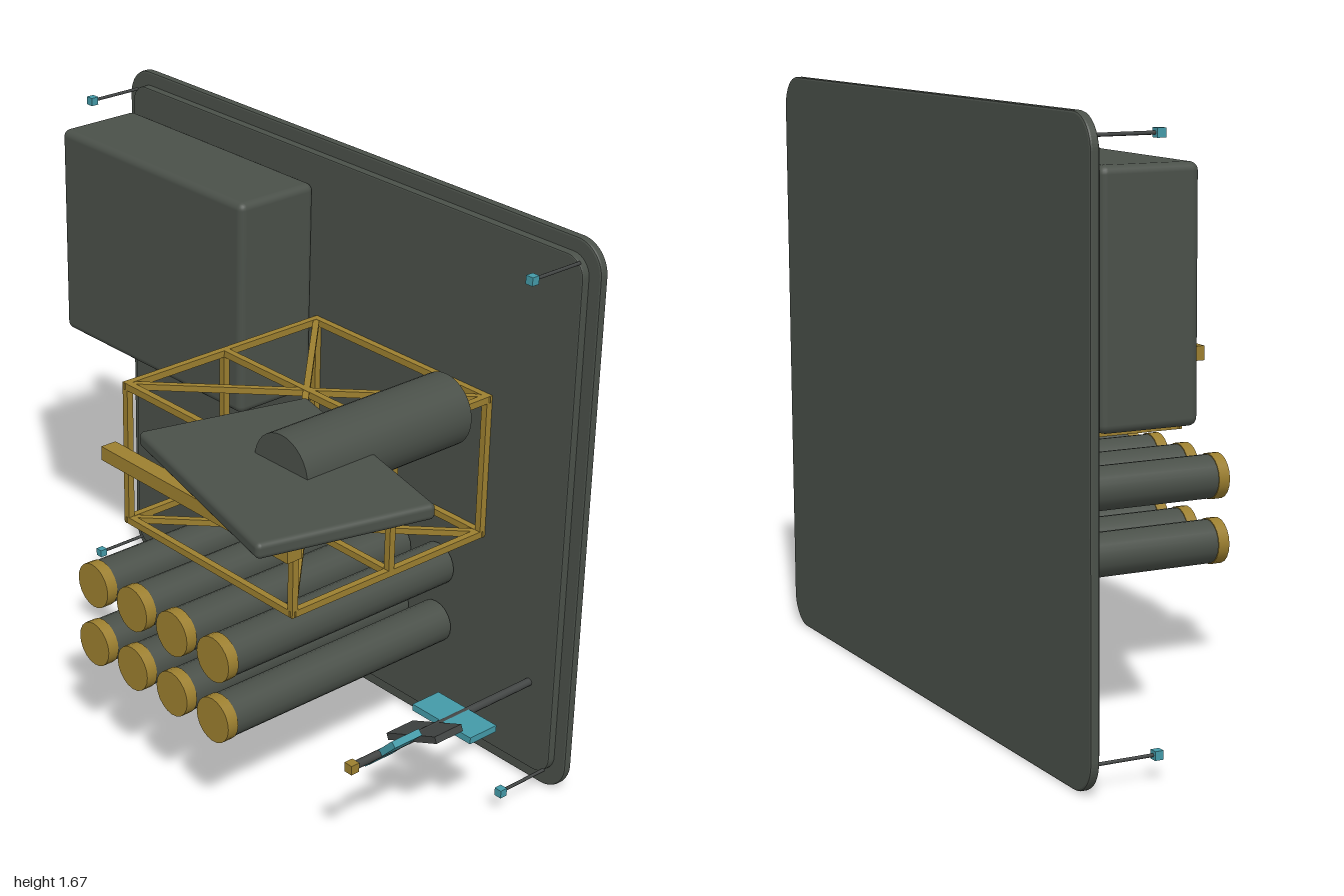
import * as THREE from 'three';
import { RoundedBoxGeometry } from 'three/addons/geometries/RoundedBoxGeometry.js';

function material(name, color) {
  const m = new THREE.MeshStandardMaterial({ color });
  m.name = name;
  return m;
}

export function createModel() {
  const hull = material('grey green hull', 0x4a5049);
  const gold = material('gold', 0x9c7f2f);
  const teal = material('teal', 0x449aa8);
  const dark = material('dark grey', 0x424544);
  const model = new THREE.Group();

  function add(name, geometry, mat, x, y, z, parent = model) {
    const mesh = new THREE.Mesh(geometry, mat);
    mesh.name = name;
    mesh.position.set(x, y, z);
    parent.add(mesh);
    return mesh;
  }
  function group(name) {
    const g = new THREE.Group();
    g.name = name;
    model.add(g);
    return g;
  }
  const box = (w, h, d) => new THREE.BoxGeometry(w, h, d);
  const rod = (r, length, sides) =>
    new THREE.CylinderGeometry(r, r, length, sides).rotateX(Math.PI / 2);

  // Upright plate with rounded corners and softened edges
  function plate(name, x0, x1, y0, y1, z0, z1, r, bevel) {
    const w = (x1 - x0) / 2 - bevel, h = (y1 - y0) / 2 - bevel;
    const s = new THREE.Shape();
    s.moveTo(-w + r, -h);
    s.lineTo(w - r, -h);
    s.absarc(w - r, -h + r, r, -Math.PI / 2, 0);
    s.lineTo(w, h - r);
    s.absarc(w - r, h - r, r, 0, Math.PI / 2);
    s.lineTo(-w + r, h);
    s.absarc(-w + r, h - r, r, Math.PI / 2, Math.PI);
    s.lineTo(-w, -h + r);
    s.absarc(-w + r, -h + r, r, Math.PI, Math.PI * 1.5);
    const geometry = new THREE.ExtrudeGeometry(s, {
      depth: z1 - z0 - 2 * bevel, bevelEnabled: true, bevelSize: bevel,
      bevelThickness: bevel, bevelSegments: 2, curveSegments: 8,
    });
    add(name, geometry, hull, (x0 + x1) / 2, (y0 + y1) / 2, z0 + bevel);
  }
  plate('backPlate', -1, 0.945, 0, 1.675, -0.57, -0.544, 0.085, 0.006);
  plate('innerPlate', -0.957, 0.903, 0.05, 1.633, -0.55, -0.52, 0.055, 0.004);

  // Large equipment housing
  add('equipmentBox', new RoundedBoxGeometry(0.835, 0.65, 0.275, 3, 0.022), hull, -0.543, 1.22, -0.383);

  // Drum with a tilted flat panel through it
  add('drum', rod(0.103, 0.585, 32), hull, 0.6, 1.154, -0.053);
  const slab = add('flatPanel', new RoundedBoxGeometry(0.7, 0.045, 0.5, 3, 0.015), hull, 0.605, 1.146, 0.235);
  slab.rotation.y = -0.25;

  // Open truss frame
  const truss = group('trussFrame');
  function bar(a, b, t = 0.02) {
    const start = new THREE.Vector3(...a), end = new THREE.Vector3(...b);
    const middle = start.clone().add(end).multiplyScalar(0.5);
    const mesh = add('trussBar', box(t, t, start.distanceTo(end) + t), gold, middle.x, middle.y, middle.z, truss);
    mesh.lookAt(end);
  }
  const X0 = -0.095, X1 = 0.6, Y0 = 0.717, Y1 = 1.133, Z0 = -0.51, Z1 = 0.19, ZM = -0.16;
  for (const y of [Y0, Y1]) {
    for (const z of [Z0, ZM, Z1]) bar([X0, y, z], [X1, y, z]);
    for (const x of [X0, X1]) bar([x, y, Z0], [x, y, Z1]);
    bar([X0, y, Z0], [X1, y, Z1], 0.018);
    bar([X1, y, Z0], [X0, y, Z1], 0.018);
  }
  for (const x of [X0, X1]) {
    for (const z of [Z0, ZM, Z1]) add('trussPost', box(0.02, Y1 - Y0, 0.02), gold, x, (Y0 + Y1) / 2, z, truss);
  }

  // Cross beam with its sensor
  add('crossBeam', box(0.785, 0.042, 0.05), gold, 0.252, 0.926, 0.226);
  add('sensorBox', box(0.095, 0.084, 0.06), dark, 0.363, 0.926, 0.192);
  add('sensorRod', rod(0.005, 0.25, 8), dark, 0.363, 0.925, 0.036);

  // Two rows of four capped tubes
  const tubes = group('tubes');
  for (let i = 0; i < 4; i++) {
    for (const y of [0.365, 0.556]) {
      const x = -0.083 + i * 0.175;
      add('tube', rod(0.064, 0.81, 20), hull, x, y, -0.105, tubes);
      add('tubeCap', rod(0.067, 0.035, 20), gold, x, y, 0.316, tubes);
    }
  }

  // Arm with three twisted blades
  const arm = group('bladeArm');
  add('armRod', rod(0.012, 0.67, 10), dark, 0.81, 0.325, -0.185, arm);
  add('armTip', box(0.028, 0.028, 0.028), gold, 0.81, 0.325, 0.157, arm);
  const blades = [[0.225, -0.225, teal], [0.2, -0.112, dark], [0.16, 0.01, teal]];
  blades.forEach(([width, z, mat], i) => {
    add('blade', box(width, 0.02, 0.1), mat, 0.81, 0.325, z, arm).rotation.z = i * 0.4;
  });

  // Corner antennas
  const antennas = group('cornerAntennas');
  for (const x of [-0.94, 0.885]) {
    for (const y of [0.067, 1.617]) {
      add('antennaRod', rod(0.005, 0.17, 8), dark, x, y, -0.44, antennas);
      add('antennaTip', box(0.024, 0.024, 0.024), teal, x, y, -0.35, antennas);
    }
  }
  return model;
}
